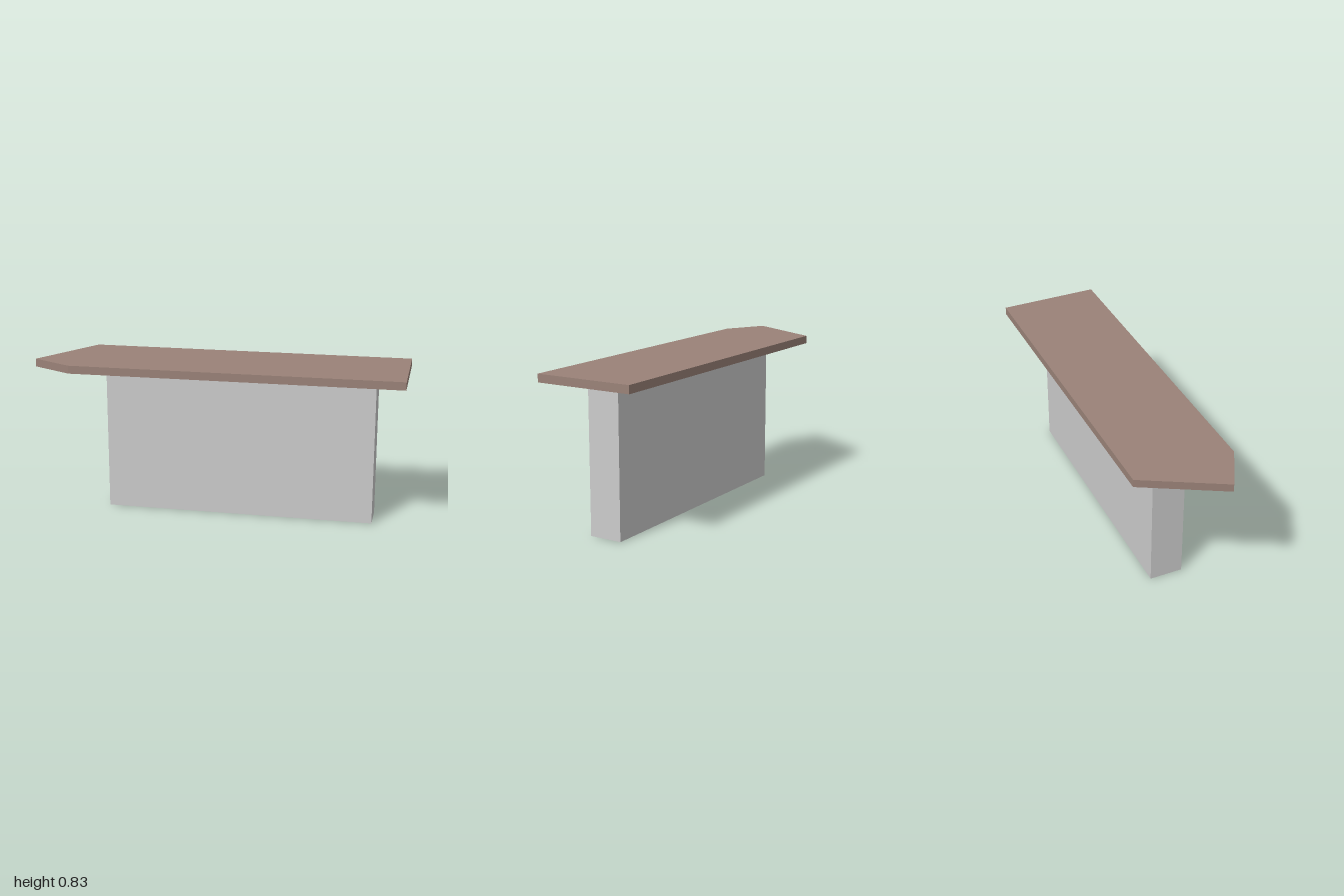
import * as THREE from 'three';

const BASE_HEIGHT = 0.79;
const TOP_THICKNESS = 0.043;

export function createModel() {
  const model = new THREE.Group();
  model.name = 'counter';

  // Solid wall-like base, set slightly towards the square end
  const base = new THREE.Mesh(
    new THREE.BoxGeometry(1.46, BASE_HEIGHT, 0.18),
    new THREE.MeshStandardMaterial({ color: 0xc5c9c9 })
  );
  base.name = 'base';
  base.position.set(0.11, BASE_HEIGHT / 2, 0);
  model.add(base);

  // Thin top with an off-centre pointed end; outline as [x, z]
  const outline = [[-0.775, 0.27], [1, 0.27], [1, -0.27], [-0.775, -0.27], [-1, 0.147]];
  const shape = new THREE.Shape(outline.map(([x, z]) => new THREE.Vector2(x, -z)));
  const topGeometry = new THREE.ExtrudeGeometry(shape, { depth: TOP_THICKNESS, bevelEnabled: false });
  topGeometry.rotateX(-Math.PI / 2);
  const top = new THREE.Mesh(topGeometry, new THREE.MeshStandardMaterial({ color: 0x9a8278 }));
  top.name = 'countertop';
  top.position.y = BASE_HEIGHT;
  model.add(top);

  return model;
}
